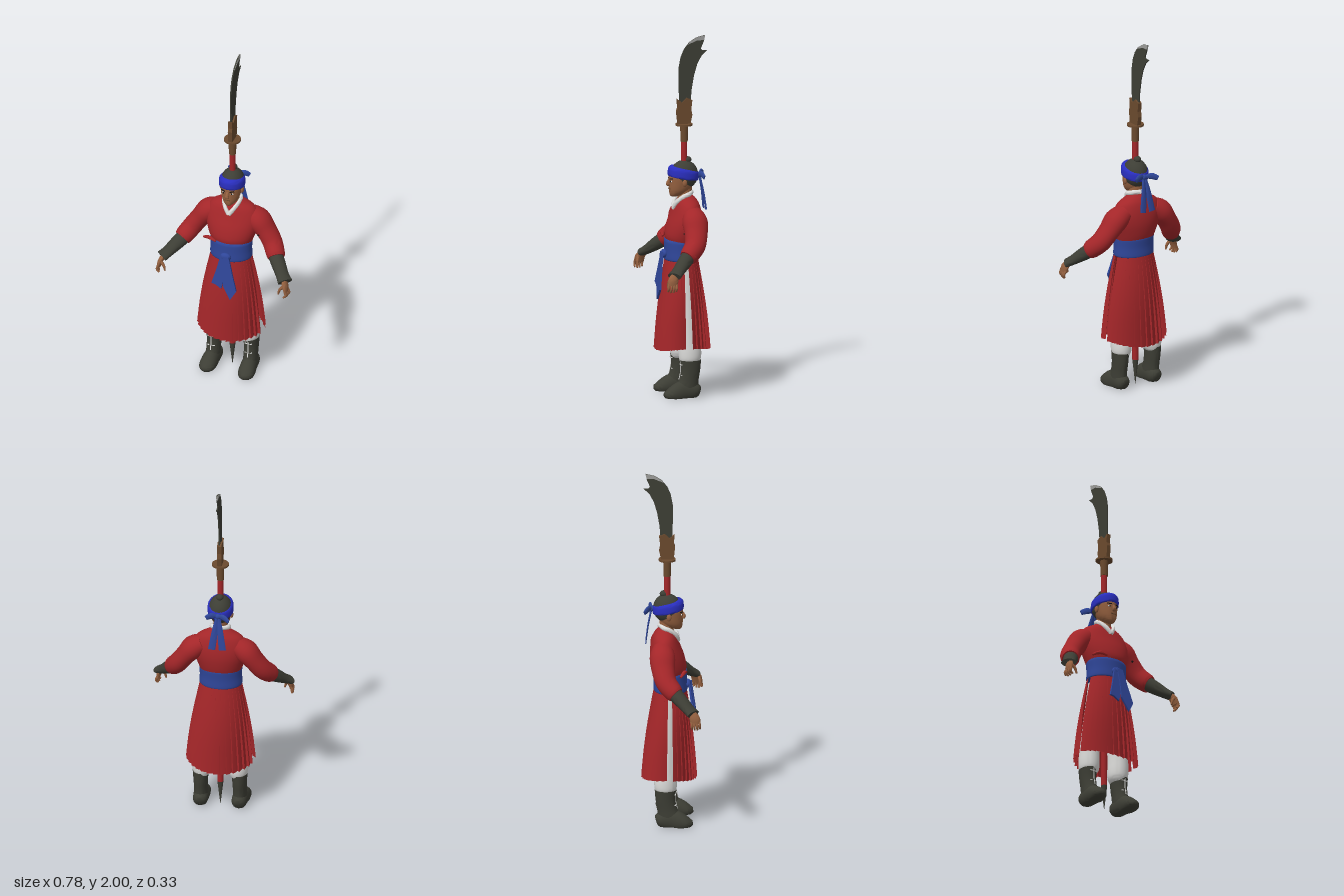
import * as THREE from 'three';
import { toCreasedNormals } from 'three/addons/utils/BufferGeometryUtils.js';

const material = (name, color, side = THREE.FrontSide) =>
  Object.assign(new THREE.MeshStandardMaterial({ color, side }), { name });
const red = material('robe red', 0xa42629, THREE.DoubleSide);
const blue = material('sash blue', 0x2f4699);
const bandBlue = material('headband blue', 0x2a2fc0);
const white = material('linen white', 0xdcdcda);
const dark = material('charcoal', 0x3d3e35);
const skin = material('skin', 0x94603f);
const wood = material('wood brown', 0x6b4a2e);
const steel = material('edge steel', 0x9c9c9a);
const black = material('black', 0x1a1715);

// Smooth interpolation through rows of numbers
function smooth(rows, sub = 4) {
  const out = [], n = rows.length;
  const at = (i) => rows[Math.min(n - 1, Math.max(0, i))];
  for (let i = 0; i < n - 1; i++)
    for (let s = 0; s < sub; s++) {
      const t = s / sub;
      out.push(at(i).map((b, k) => {
        const a = at(i - 1)[k], c = at(i + 1)[k], d = at(i + 2)[k];
        return 0.5 * (2 * b + (c - a) * t + (2 * a - 5 * b + 4 * c - d) * t * t + (3 * b - a - 3 * c + d) * t ** 3);
      }));
    }
  out.push(rows[n - 1]);
  return out;
}

// Closed skin over a list of rings, capped at both ends
function loft(rings) {
  const seg = rings[0].length, pos = rings.flat().flatMap((p) => p.toArray()), index = [];
  for (let i = 0; i < rings.length - 1; i++)
    for (let j = 0; j < seg; j++) {
      const a = i * seg + j, b = i * seg + (j + 1) % seg;
      index.push(a, b, b + seg, a, b + seg, a + seg);
    }
  for (const [i, flip] of [[0, true], [rings.length - 1, false]]) {
    const c = new THREE.Vector3();
    rings[i].forEach((p) => c.addScaledVector(p, 1 / seg));
    const ci = pos.length / 3;
    pos.push(c.x, c.y, c.z);
    for (let j = 0; j < seg; j++) {
      const a = i * seg + j, b = i * seg + (j + 1) % seg;
      index.push(ci, flip ? b : a, flip ? a : b);
    }
  }
  const g = new THREE.BufferGeometry();
  g.setAttribute('position', new THREE.Float32BufferAttribute(pos, 3));
  g.setIndex(index);
  return toCreasedNormals(g, 1.0);
}

// Upright form: rows of [y, halfWidth, zFront, zBack], optional tilt to the front
function upright(rows, cx = 0, tilt = 0, seg = 32) {
  return loft(smooth(rows).map(([y, rx, zf, zb]) => Array.from({ length: seg }, (_, j) => {
    const a = j / seg * Math.PI * 2;
    return new THREE.Vector3(cx + rx * Math.sin(a), y + tilt * Math.cos(a), (zf + zb) / 2 + (zf - zb) / 2 * Math.cos(a));
  })));
}

// Limb along a path: rows of [x, y, z, radiusU, radiusV]
function limb(rows, ref = [0, 1, 0], seg = 16) {
  const r = smooth(rows), pts = r.map((p) => new THREE.Vector3(p[0], p[1], p[2]));
  return loft(r.map((p, i) => {
    const T = pts[Math.min(i + 1, r.length - 1)].clone().sub(pts[Math.max(i - 1, 0)]).normalize();
    const U = new THREE.Vector3(...ref).cross(T).normalize(), V = T.clone().cross(U);
    return Array.from({ length: seg }, (_, j) => {
      const a = j / seg * Math.PI * 2;
      return pts[i].clone().addScaledVector(U, p[3] * Math.cos(a)).addScaledVector(V, p[4] * Math.sin(a));
    });
  }));
}

// Flat plate from an outline, centred on its thickness
function plate(points, depth) {
  const shape = new THREE.Shape(points.map((p) => new THREE.Vector2(...p)));
  return new THREE.ExtrudeGeometry(shape, { depth, bevelEnabled: false }).translate(0, 0, -depth / 2);
}

// Half of the pleated skirt; start is the middle angle of the panel
function skirtPanel(mid, depth0, depth1) {
  const pleats = 15, span = 1.46, rows = 8, cols = [], pos = [], index = [];
  for (let k = 0; k < pleats; k++) cols.push([k + 0.02, 1], [k + 0.55, 0.5], [k + 0.98, 0]);
  for (let i = 0; i <= rows; i++) {
    const t = i / rows;
    for (const [k, out] of cols) {
      const u = k / pleats * 2 - 1, a = mid + u * span;
      const bulge = t + 0.12 * Math.sin(Math.PI * t), f = 1 + (out - 0.7) * 0.085 * Math.min(1, t * 1.4);
      const hem = 0.255 + 0.028 * Math.sin(a) ** 2;
      pos.push(Math.sin(a) * (0.113 + 0.075 * bulge) * f, 0.77 + (hem - 0.77) * t,
        -0.008 + Math.cos(a) * (depth0 + (depth1 - depth0) * bulge) * f);
    }
  }
  const n = cols.length;
  for (let i = 0; i < rows; i++)
    for (let j = 0; j < n - 1; j++) {
      const a = i * n + j, b = a + n;
      index.push(a, b, b + 1, a, b + 1, a + 1);
    }
  const g = new THREE.BufferGeometry();
  g.setAttribute('position', new THREE.Float32BufferAttribute(pos, 3));
  g.setIndex(index);
  return toCreasedNormals(g, 0.45);
}

export function createModel() {
  const model = new THREE.Group();
  const add = (name, geometry, mat, x = 0, y = 0, z = 0) => {
    const m = new THREE.Mesh(geometry, mat);
    m.name = name;
    m.position.set(x, y, z);
    model.add(m);
    return m;
  };
  const ball = (name, mat, x, y, z, rx, ry, rz) =>
    add(name, new THREE.SphereGeometry(1, 24, 16).scale(rx, ry, rz), mat, x, y, z);
  const rod = (name, mat, r1, r0, y0, y1) =>
    add(name, new THREE.CylinderGeometry(r1, r0, y1 - y0, 20), mat, 0, (y0 + y1) / 2, -0.026);

  // Robe, skirt and sash
  add('robe', upright([[0.85, 0.115, 0.07, -0.1], [0.89, 0.13, 0.08, -0.112], [0.95, 0.148, 0.068, -0.121], [1.01, 0.153, 0.045, -0.118],
    [1.065, 0.125, 0.024, -0.105], [1.095, 0.075, 0.008, -0.088], [1.112, 0.045, 0, -0.07]]), red);
  add('frontSkirt', skirtPanel(0, 0.088, 0.143), red);
  add('backSkirt', skirtPanel(Math.PI, 0.09, 0.157), red);
  add('sash', upright([[0.755, 0.113, 0.08, -0.096], [0.762, 0.119, 0.086, -0.101], [0.81, 0.117, 0.084, -0.1],
    [0.862, 0.119, 0.083, -0.104], [0.87, 0.114, 0.078, -0.1]]), blue);
  ball('sashKnot', blue, 0, 0.79, 0.088, 0.032, 0.024, 0.018);
  const tails = [
    [[-0.025, 0], [0.02, 0], [0.005, -0.12], [-0.012, -0.205], [-0.045, -0.185], [-0.07, -0.18], [-0.045, -0.09]],
    [[-0.01, 0], [0.025, 0], [0.05, -0.1], [0.078, -0.2], [0.045, -0.258], [0, -0.18], [0, -0.09]]];
  tails.forEach((p, i) => {
    add('sashTail', plate(p.reverse(), 0.011), blue, 0, 0.8, 0.095 + i * 0.008).rotation.x = -0.13;
  });
  add('robeTie', limb([[-0.14, 0.868, 0.05, 0.006, 0.006], [-0.1, 0.885, 0.07, 0.011, 0.01], [-0.06, 0.875, 0.08, 0.006, 0.006]]), red);

  for (const s of [1, -1]) {
    // Collar
    add('collar', limb([[0, 1.04, 0.036], [s * 0.025, 1.075, 0.024], [s * 0.046, 1.108, -0.01], [s * 0.044, 1.122, -0.045],
      [0, 1.126, -0.07]].map((p) => [...p, 0.01, 0.013])), white);
    // Sleeve, bracer and hand
    const side = (rows) => rows.map(([x, ...rest]) => [s * x, ...rest]);
    add('sleeve', limb(side([[0.09, 1.02, -0.05, 0.05, 0.055], [0.145, 0.985, -0.05, 0.064, 0.07], [0.19, 0.93, -0.045, 0.055, 0.064],
      [0.232, 0.87, -0.028, 0.054, 0.058], [0.265, 0.825, 0.012, 0.052, 0.052], [0.275, 0.812, 0.026, 0.046, 0.046]]), [0, 0, 1], 24), red);
    add('bracer', limb(side([[0.255, 0.83, 0.005, 0.042, 0.042], [0.295, 0.79, 0.05, 0.04, 0.037], [0.335, 0.75, 0.095, 0.037, 0.027],
      [0.36, 0.73, 0.122, 0.043, 0.022]]), [0, 1, 0], 20), dark);
    add('palm', limb(side([[0.35, 0.735, 0.112, 0.014, 0.022], [0.364, 0.705, 0.13, 0.014, 0.029], [0.37, 0.676, 0.134, 0.01, 0.027]]), [0, 0, 1]), skin);
    for (let i = 0; i < 4; i++) {
      const z = 0.112 + i * 0.0145, low = 0.648 - 0.006 * (i === 1 || i === 2);
      add('finger', limb(side([[0.368, 0.69, z, 0.007, 0.007], [0.381 - i * 0.002, 0.665, z + 0.002, 0.007, 0.007],
        [0.374 - i * 0.004, low, z + 0.004, 0.005, 0.005]]), [0, 0, 1], 8), skin);
    }
    add('thumb', limb(side([[0.355, 0.71, 0.145, 0.009, 0.009], [0.338, 0.69, 0.15, 0.008, 0.008], [0.33, 0.662, 0.152, 0.005, 0.005]]), [0, 0, 1], 8), skin);
    // Trousers and boots
    add('trouserLeg', upright([[0.185, 0.036, 0.015, -0.082], [0.21, 0.052, 0.026, -0.092], [0.25, 0.056, 0.03, -0.096],
      [0.32, 0.054, 0.03, -0.09], [0.5, 0.052, 0.03, -0.08], [0.74, 0.045, 0.03, -0.07]].map((r) => r), s * 0.1), white);
    const leg = model.children[model.children.length - 1].geometry.attributes.position;
    for (let i = 0; i < leg.count; i++) leg.setX(i, leg.getX(i) - s * Math.max(0, leg.getY(i) - 0.3) * 0.1);
    add('bootShaft', upright([[0.015, 0.038, 0.04, -0.078], [0.06, 0.039, 0.045, -0.077], [0.1, 0.038, 0.03, -0.08],
      [0.15, 0.04, 0.021, -0.088], [0.208, 0.044, 0.024, -0.093]], s * 0.108), dark);
    const foot = limb([[s * 0.106, 0.03, -0.082, 0.026, 0.03], [s * 0.107, 0.035, -0.06, 0.04, 0.045], [s * 0.109, 0.035, 0, 0.043, 0.06],
      [s * 0.112, 0.025, 0.05, 0.046, 0.052], [s * 0.114, 0.02, 0.09, 0.04, 0.032], [s * 0.115, 0.022, 0.115, 0.016, 0.013]], [0, 1, 0], 24);
    const fp = foot.attributes.position;
    for (let i = 0; i < fp.count; i++) fp.setY(i, Math.max(0, fp.getY(i)));
    add('bootFoot', foot, dark);
    add('bootLace', limb([[s * 0.108, 0.2, 0.024], [s * 0.108, 0.15, 0.022], [s * 0.108, 0.1, 0.032]].map((p) => [...p, 0.003, 0.002]), [0, 0, 1], 6), white);
    for (const y of [0.125, 0.185])
      add('bootCrossLace', new THREE.BoxGeometry(0.042, 0.004, 0.006), white, s * 0.108, y, 0.02);
    // Paired face details
    ball('ear', skin, s * 0.061, 1.188, -0.015, 0.009, 0.02, 0.013);
    ball('eye', white, s * 0.024, 1.194, 0.053, 0.01, 0.0045, 0.004);
    ball('pupil', black, s * 0.024, 1.194, 0.056, 0.0045, 0.0045, 0.003);
    add('eyebrow', new THREE.BoxGeometry(0.026, 0.005, 0.006), black, s * 0.025, 1.209, 0.054).rotation.set(0, s * 0.4, s * 0.1);
  }

  // Head
  add('neck', new THREE.CylinderGeometry(0.038, 0.042, 0.11, 24), skin, 0, 1.105, -0.03);
  add('face', upright([[1.108, 0.016, 0.05, 0.012], [1.12, 0.032, 0.056, -0.03], [1.145, 0.048, 0.059, -0.06], [1.185, 0.057, 0.06, -0.08],
    [1.225, 0.06, 0.058, -0.09], [1.265, 0.05, 0.035, -0.08]]), skin);
  add('nose', limb([[0, 1.207, 0.054, 0.006, 0.005], [0, 1.188, 0.064, 0.009, 0.009], [0, 1.175, 0.065, 0.013, 0.011], [0, 1.168, 0.058, 0.008, 0.006]], [0, 0, 1], 12), skin);
  add('mouth', new THREE.BoxGeometry(0.032, 0.005, 0.006), wood, 0, 1.151, 0.058);
  ball('hair', dark, 0, 1.225, -0.026, 0.066, 0.081, 0.078);
  ball('topknot', dark, 0, 1.308, -0.045, 0.02, 0.018, 0.022);
  add('headband', upright([[1.207, 0.066, 0.06, -0.098], [1.213, 0.071, 0.065, -0.105], [1.25, 0.07, 0.063, -0.105], [1.264, 0.06, 0.05, -0.094]], 0, 0.015), bandBlue);
  ball('headbandKnot', blue, 0, 1.222, -0.11, 0.018, 0.016, 0.013);
  for (const [s, z] of [[-1, -0.15], [1, -0.125]]) {
    add('headbandBow', limb([[0, 1.222, -0.11, 0.004, 0.008], [s * 0.035, 1.228, (z - 0.11) / 2, 0.008, 0.018], [s * 0.065, 1.215, z, 0.004, 0.014]]), blue);
    add('headbandTail', limb([[s * 0.005, 1.22, -0.112, 0.008, 0.005], [s * 0.016, 1.13, -0.13, 0.017, 0.004], [s * 0.03, 1.03, -0.143, 0.02, 0.003]], [0, 0, 1]), blue);
  }

  // Sleeve studs
  for (const [x, y, z] of [[0.185, 0.985, -0.098], [0.21, 0.985, -0.035], [0.238, 0.92, -0.02], [0.165, 0.925, 0.014]])
    ball('sleeveStud', black, x, y, z, 0.006, 0.006, 0.006);

  // Polearm
  rod('spike', dark, 0.017, 0.001, 0, 0.14);
  rod('pole', red, 0.017, 0.017, 0.14, 1.41);
  rod('grip', wood, 0.022, 0.02, 1.41, 1.51);
  rod('guard', wood, 0.047, 0.047, 1.5, 1.51);
  const profile = (name, points, depth, mat) => add(name, plate(points, depth).rotateY(-Math.PI / 2), mat);
  profile('bladeSocket', [[0.01, 1.51], [0.018, 1.58], [0.011, 1.6], [0.015, 1.65], [-0.012, 1.63], [-0.04, 1.655], [-0.07, 1.64],
    [-0.064, 1.59], [-0.07, 1.56], [-0.06, 1.51]].reverse(), 0.024, wood);
  profile('blade', [[0, 1.6], [0.005, 1.72], [0.005, 1.82], [-0.006, 1.88], [-0.025, 1.925], [-0.055, 1.963], [-0.095, 1.988], [-0.145, 2],
    [-0.137, 1.965], [-0.12, 1.925], [-0.128, 1.915], [-0.157, 1.915], [-0.125, 1.887], [-0.1, 1.84], [-0.082, 1.78], [-0.068, 1.7], [-0.06, 1.6]], 0.007, dark);
  profile('bladeEdge', [[-0.045, 1.95], [-0.055, 1.963], [-0.095, 1.988], [-0.145, 2], [-0.139, 1.972], [-0.1, 1.972]], 0.009, steel);
  return model;
}
